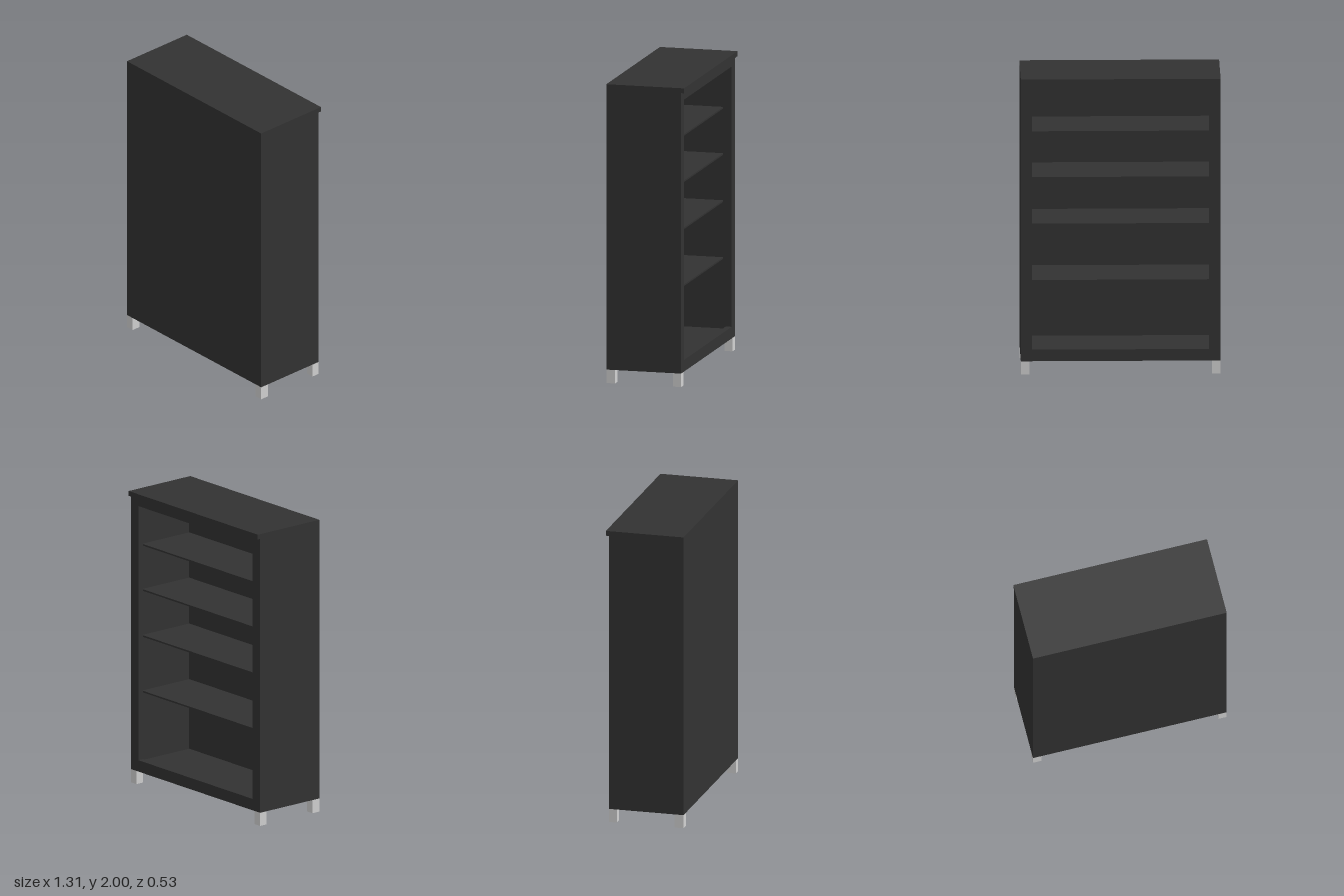
import * as THREE from 'three';

export function createModel() {
  const group = new THREE.Group();
  group.name = 'bookcase';
  const dark = new THREE.MeshStandardMaterial({ color: 0x323232 });
  dark.name = 'charcoal board';
  const grey = new THREE.MeshStandardMaterial({ color: 0xd2d2d2 });
  grey.name = 'light grey leg';

  // Box given by its extents on each axis
  function board(name, [x0, x1], [y0, y1], [z0, z1], material = dark) {
    const mesh = new THREE.Mesh(new THREE.BoxGeometry(x1 - x0, y1 - y0, z1 - z0), material);
    mesh.position.set((x0 + x1) / 2, (y0 + y1) / 2, (z0 + z1) / 2);
    mesh.name = name;
    group.add(mesh);
  }

  const W = 0.656, front = 0.265, open = -0.245;
  const bottom = 0.09, floor = 0.145, ceiling = 1.982, lip = 1.967;
  const inner = W - 0.031, panel = 0.23, frame = open + 0.04;

  // Carcass: the top's thicker edge overhangs the open side
  board('topBoard', [-W, W], [ceiling, 2], [frame, front]);
  board('topLip', [-W, W], [lip, 2], [-0.265, frame]);
  board('closedPanel', [-inner, inner], [bottom, ceiling], [panel, front]);
  board('floorBoard', [-inner, inner], [bottom, floor], [frame, panel]);

  // Frame around the opening
  const stile = W - 0.075;
  board('upperRail', [-stile, stile], [1.91, lip], [open, frame]);
  board('lowerRail', [-stile, stile], [bottom, 0.168], [open, frame]);

  for (const s of [-1, 1]) {
    const span = (a, b) => [Math.min(s * a, s * b), Math.max(s * a, s * b)];
    const side = s > 0 ? 'left' : 'right';
    board(side + 'SideBoard', span(inner, W), [bottom, ceiling], [frame, front]);
    board(side + 'Stile', span(stile, W), [bottom, lip], [open, frame]);

    // Square legs flush with the corners
    board(side + 'FrontLeg', span(0.6, W), [0, bottom], [front - 0.06, front], grey);
    board(side + 'BackLeg', span(0.6, W), [0, bottom], [open, open + 0.055], grey);
  }

  // Shelves, set back from the frame; heights are the top faces
  [0.622, 1.003, 1.318, 1.628].forEach((y, i) =>
    board('shelf' + (i + 1), [-inner, inner], [y - 0.011, y], [-0.175, panel]));

  return group;
}
